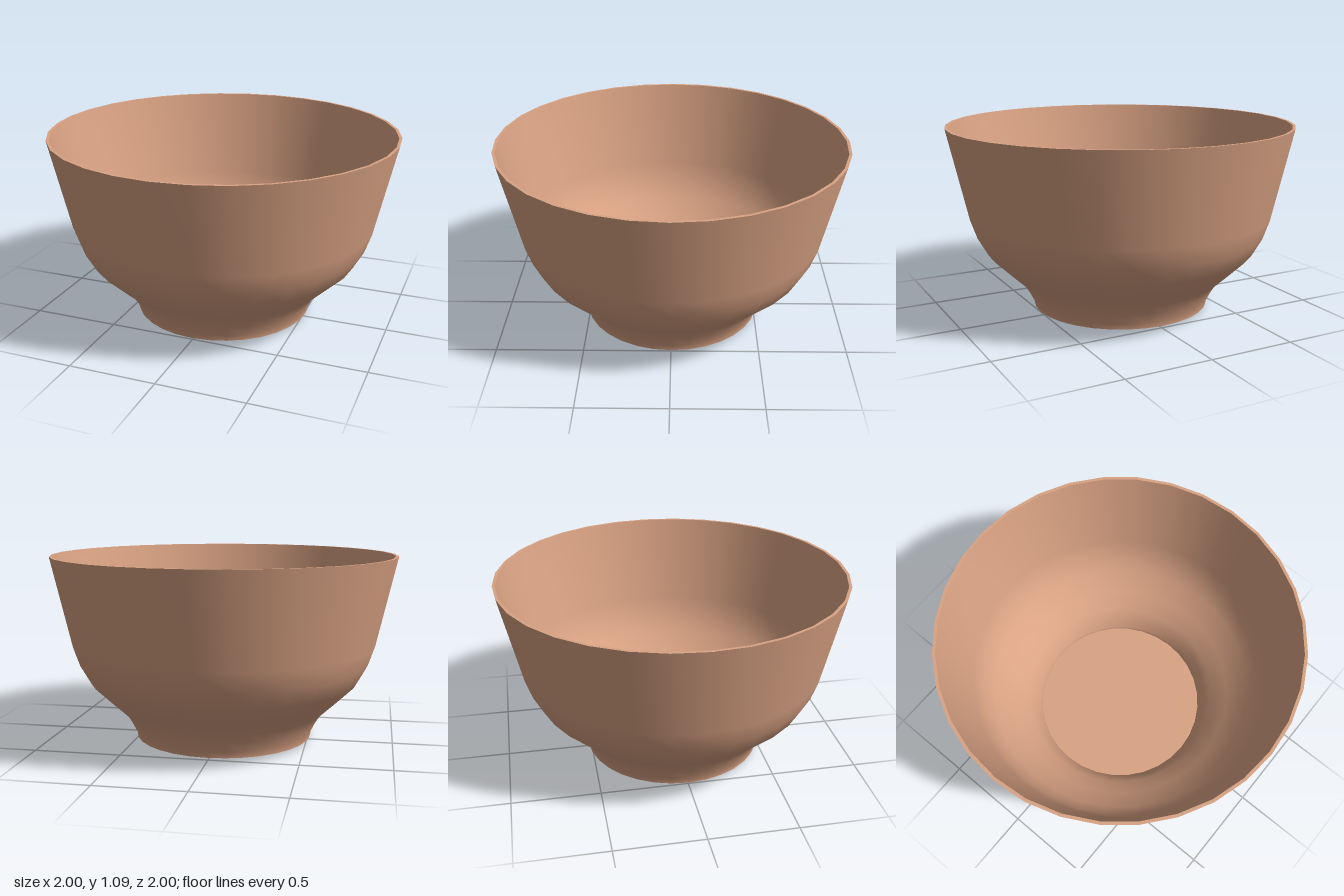
import * as THREE from 'three';

const SIDES = 32;

// Outer wall from the foot up to the rim: [radius, height]
const OUTER = [
  [0.517, 0.018], [0.522, 0.05], [0.555, 0.115], [0.592, 0.172], [0.676, 0.25],
  [0.785, 0.355], [0.845, 0.46], [0.883, 0.57], [1.0, 1.09],
];

// Inner wall: the same curve, one wall thickness further in
const INNER = [
  [0.505, 0.03], [0.508, 0.055], [0.54, 0.121], [0.578, 0.182], [0.664, 0.262],
  [0.771, 0.365], [0.83, 0.466], [0.867, 0.574], [0.983, 1.09],
];

export function createModel() {
  const group = new THREE.Group();
  group.name = 'bowl';
  const material = new THREE.MeshStandardMaterial({ color: 0xd9a283, roughness: 0.9 });

  // Separate lathes keep the rim, floor and foot edges sharp
  const turn = (name, profile) => {
    const points = profile.map(([r, y]) => new THREE.Vector2(r, y));
    const mesh = new THREE.Mesh(new THREE.LatheGeometry(points, SIDES), material);
    mesh.name = name;
    group.add(mesh);
  };

  turn('outerWall', OUTER);
  turn('rim', [OUTER.at(-1), INNER.at(-1)]);
  turn('innerWall', [...INNER].reverse());
  turn('floor', [INNER[0], [0, 0.03]]);
  turn('base', [[0, 0], OUTER[0]]); // bulges slightly at the centre

  return group;
}
